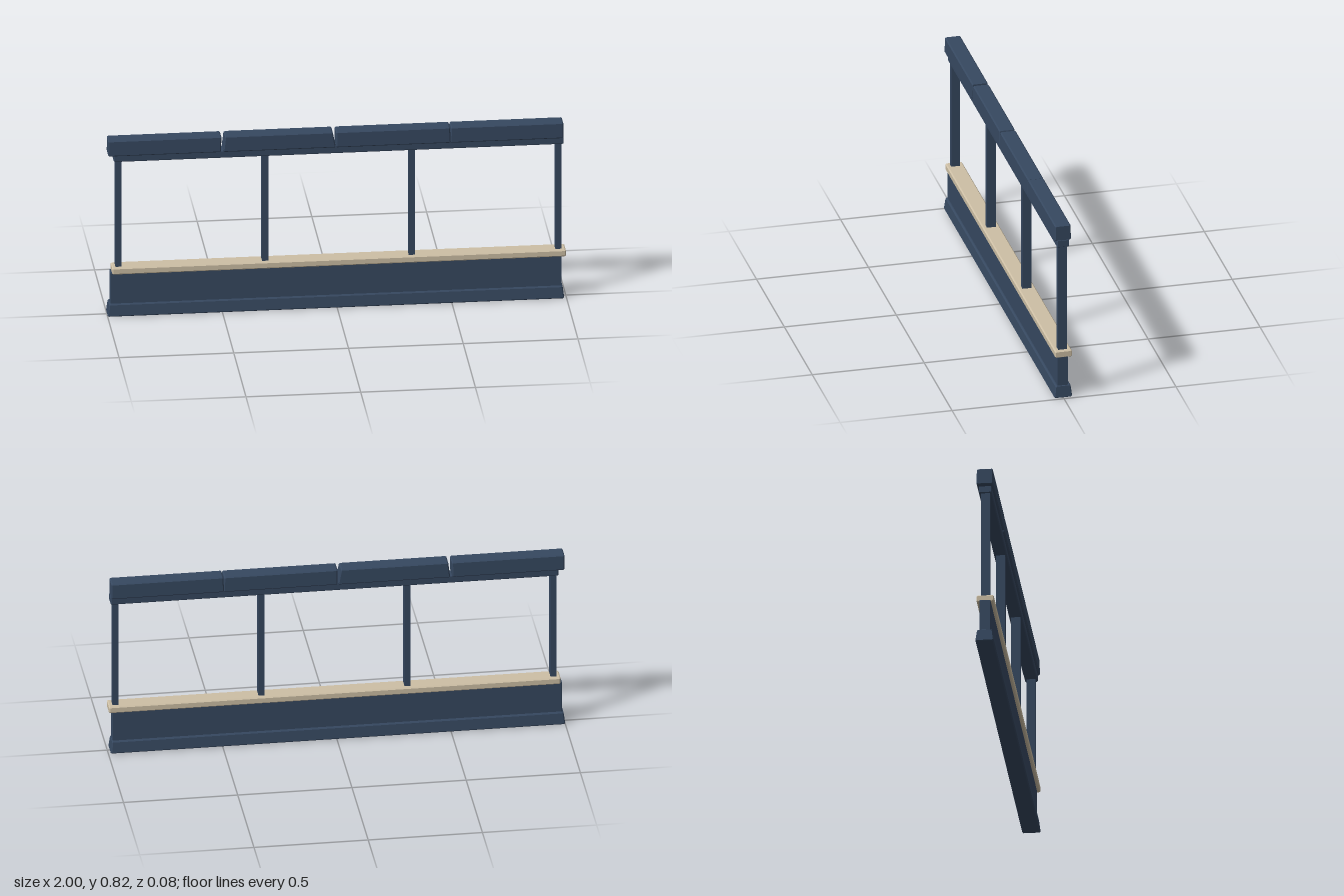
import * as THREE from 'three';

const navy = new THREE.MeshStandardMaterial({ color: 0x364860 });
navy.name = 'navy paint';
const tan = new THREE.MeshStandardMaterial({ color: 0xcdbfa5 });
tan.name = 'tan trim';

// Chamfered beam along x; taper narrows the top in depth, lean(x offset) shapes the ends.
function beam(name, material, [x0, x1], [y0, y1], [z0, z1], bevel = 0.004, taper = 0, lean) {
  const c = bevel;
  const a = -z1, b = -z0;
  const shape = new THREE.Shape([
    [a + c, y0], [b - c, y0], [b, y0 + c], [b - taper, y1 - c],
    [b - taper - c, y1], [a + taper + c, y1], [a + taper, y1 - c], [a, y0 + c],
  ].map(([u, v]) => new THREE.Vector2(u, v)));
  const g = new THREE.ExtrudeGeometry(shape, {
    depth: x1 - x0 - 2 * c, bevelEnabled: true, bevelSegments: 1,
    bevelSize: c * 0.7, bevelThickness: c, bevelOffset: -c * 0.7,
  });
  g.translate(0, 0, x0 + c);
  g.rotateY(Math.PI / 2);
  if (lean) {
    const p = g.attributes.position;
    const mid = (x0 + x1) / 2;
    for (let i = 0; i < p.count; i++) {
      const t = (p.getY(i) - y0) / (y1 - y0);
      p.setX(i, p.getX(i) + t * (p.getX(i) < mid ? lean[0] : lean[1]));
    }
    g.computeVertexNormals();
  }
  const mesh = new THREE.Mesh(g, material);
  mesh.name = name;
  return mesh;
}

export function createModel() {
  const model = new THREE.Group();
  model.name = 'railing';

  // Solid lower part
  model.add(beam('basePlinth', navy, [-1, 0.99], [0, 0.057], [-0.04, 0.04], 0.005, 0.006, [0.007, -0.007]));
  model.add(beam('lowerPanel', navy, [-0.987, 0.98], [0.05, 0.2], [-0.024, 0.025], 0.002));
  model.add(beam('trimRail', tan, [-0.98, 0.997], [0.196, 0.227], [-0.037, 0.038], 0.005));

  // Square posts
  for (const x of [-0.951, -0.312, 0.327, 0.966]) {
    const post = new THREE.Mesh(new THREE.BoxGeometry(0.027, 0.51, 0.04), navy);
    post.name = 'post';
    post.position.set(x, 0.475, 0.001);
    model.add(post);
  }

  // Under rail and the four cap blocks, with uneven ends
  model.add(beam('underRail', navy, [-0.972, 0.988], [0.72, 0.755], [-0.027, 0.028], 0.004));
  const caps = [
    [-0.997, -0.506, 0, 0.002],
    [-0.497, -0.005, 0.009, -0.014],
    [-0.004, 0.496, 0, -0.004],
    [0.493, 0.986, 0.003, 0],
  ];
  for (const [x0, x1, l, r] of caps) {
    model.add(beam('capBlock', navy, [x0, x1], [0.75, 0.823], [-0.035, 0.037], 0.005, 0.001, [l, r]));
  }
  return model;
}
